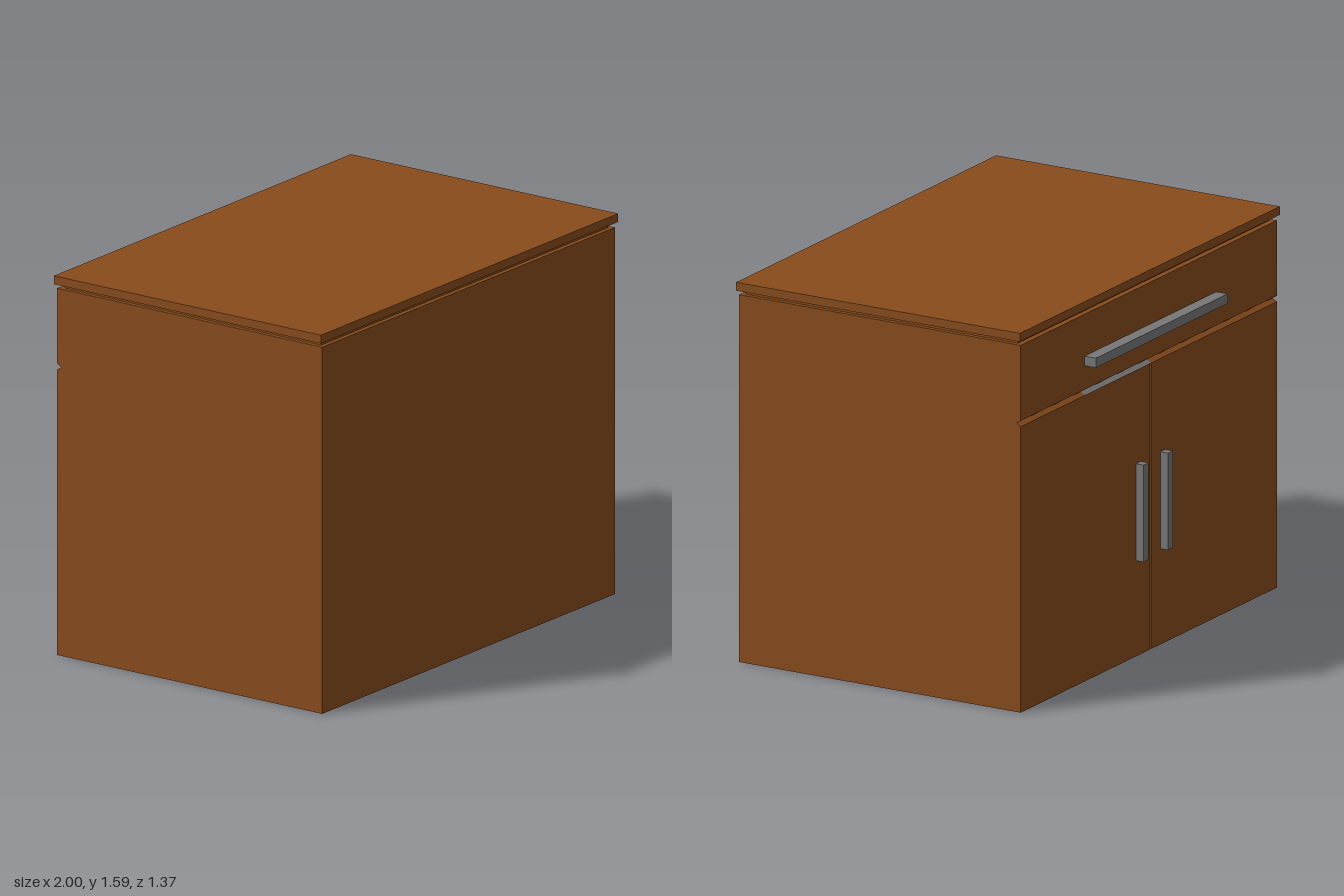
import * as THREE from 'three';

export function createModel() {
  const cabinet = new THREE.Group();
  cabinet.name = 'cabinet';
  const wood = new THREE.MeshStandardMaterial({ color: 0x874b1b });
  const metal = new THREE.MeshStandardMaterial({ color: 0x777777 });

  const add = (name, geometry, material) => {
    const mesh = new THREE.Mesh(geometry, material);
    mesh.name = name;
    cabinet.add(mesh);
    return mesh;
  };
  // Box given by its lower and upper limits on each axis
  const addBox = (name, [x0, x1], [y0, y1], [z0, z1], material) =>
    add(name, new THREE.BoxGeometry(x1 - x0, y1 - y0, z1 - z0), material)
      .position.set((x0 + x1) / 2, (y0 + y1) / 2, (z0 + z1) / 2);
  const outline = (points) => new THREE.Shape(points.map(([x, y]) => new THREE.Vector2(x, y)));

  const W = 0.985, rear = 0.68, face = -0.635;  // carcass half width and depth limits
  const doorTop = 1.195, drawerBottom = 1.22, bodyTop = 1.535;
  const split = -0.015;                         // line between the two doors

  // Lower carcass with both doors: plan outline with a narrow slot between them
  const plan = outline([
    [-W, -rear], [W, -rear], [W, -face],
    [split + 0.004, -face], [split, -face - 0.2], [split - 0.004, -face],
    [-W, -face],
  ]);
  const lower = new THREE.ExtrudeGeometry(plan, { depth: doorTop, bevelEnabled: false });
  lower.rotateX(-Math.PI / 2);
  add('doorCarcass', lower, wood);

  // Drawer section: side outline with a V groove above the doors
  const grooveY = (doorTop + drawerBottom) / 2, grooveZ = face + 0.02;
  const side = outline([
    [-rear, doorTop], [-face, doorTop], [-grooveZ, grooveY],
    [-face, drawerBottom], [-face, bodyTop], [-rear, bodyTop],
  ]);
  const upper = new THREE.ExtrudeGeometry(side, { depth: 2 * W, bevelEnabled: false });
  upper.rotateY(Math.PI / 2).translate(-W, 0, 0);
  add('drawerCarcass', upper, wood);

  // Recessed neck and overhanging top
  addBox('neck', [-0.965, 0.965], [bodyTop, 1.555], [-0.61, 0.66], wood);
  addBox('worktop', [-1, 1], [1.555, 1.59], [-0.64, 0.685], wood);

  // Drawer pull and one upright pull on each door
  addBox('drawerHandle', [-0.52, 0.495], [1.32, 1.36], [-0.688, face], metal);
  for (const s of [-1, 1]) {
    const x = split + s * 0.094;
    addBox(s > 0 ? 'leftDoorHandle' : 'rightDoorHandle',
      [x - 0.019, x + 0.019], [0.4, 0.805], [-0.67, face], metal);
  }

  // Metal strip lying on the lower slope of the groove
  const rise = grooveY - doorTop, run = grooveZ - face;
  const strip = add('grooveStrip', new THREE.PlaneGeometry(0.51, Math.hypot(rise, run)), metal);
  strip.rotation.x = -Math.PI / 2 - Math.atan2(rise, run);
  strip.position.set(0.24, doorTop + rise / 2 + 0.001, face + run / 2 - 0.001);

  return cabinet;
}
